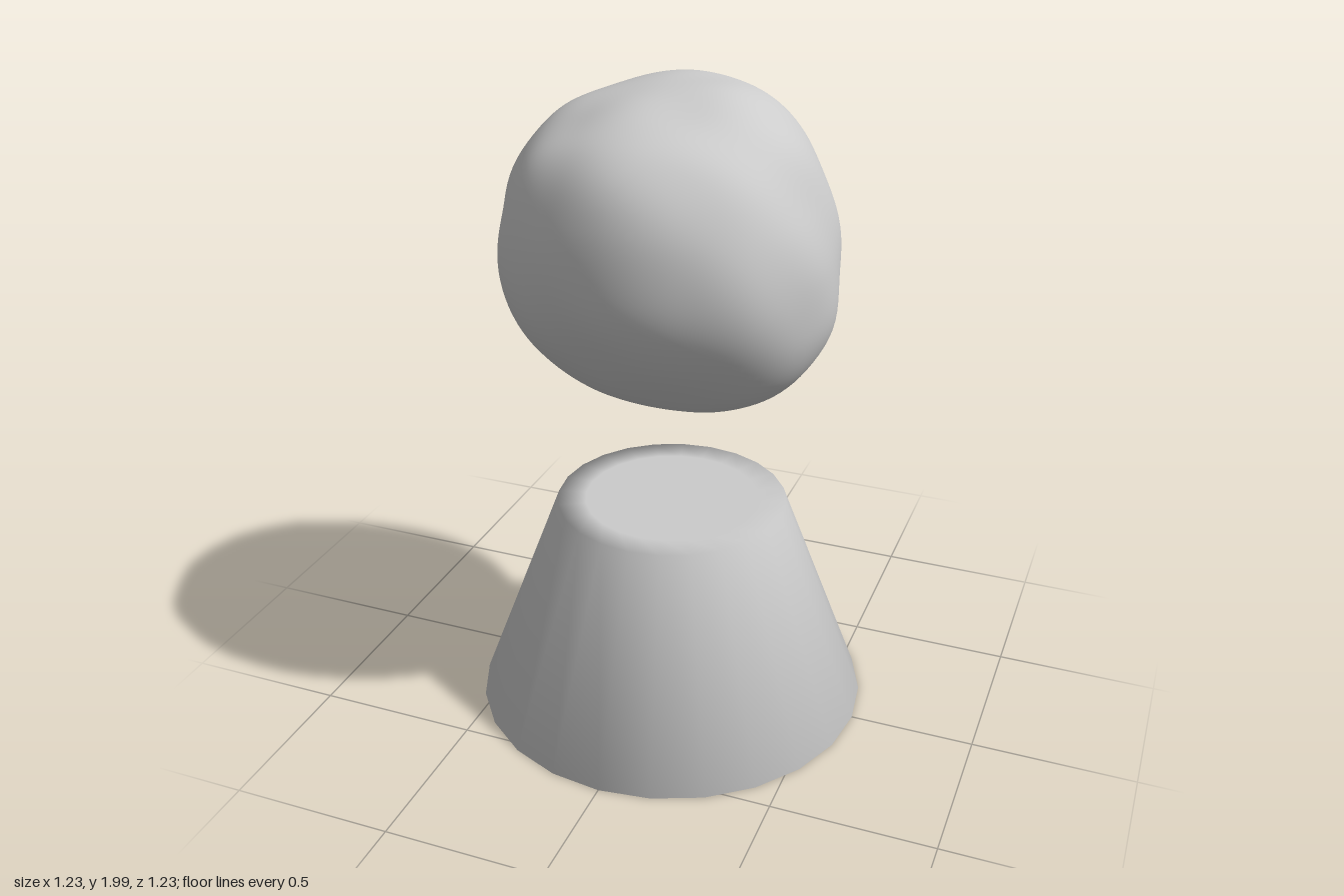
import * as THREE from 'three';
import { mergeVertices } from 'three/addons/utils/BufferGeometryUtils.js';

// Radius of the rock every 22.5 degrees around three perpendicular sections
const FRONT = [.49, .485, .505, .51, .485, .487, .507, .51, .487, .5, .497, .485, .475, .51, .525, .53]; // +x towards +y
const SIDE = [.493, .52, .522, .48, .478, .512, .482, .478, .475, .465, .468, .482, .485, .47, .458, .465]; // +z towards +y
const TOP = [.49, .505, .513, .495, .49, .49, .51, .49, .48, .51, .513, .487, .485, .49, .484, .48]; // +x towards +z

// Smooth periodic interpolation of a section's radius
function radiusAt(section, angle) {
  const n = section.length;
  const t = ((angle / (Math.PI * 2) + 1) % 1) * n;
  const i = Math.floor(t), f = t - i;
  const [a, b, c, d] = [-1, 0, 1, 2].map((k) => section[(i + k + n) % n]);
  return b + 0.5 * f * (c - a + f * (2 * a - 5 * b + 4 * c - d + f * (3 * (b - c) + d - a)));
}

// Merge shared corners so that shading is smooth over the whole surface
function smooth(geometry) {
  geometry.deleteAttribute('normal');
  geometry.deleteAttribute('uv');
  const merged = mergeVertices(geometry, 1e-4);
  merged.computeVertexNormals();
  return merged;
}

function createRock() {
  const geometry = smooth(new THREE.IcosahedronGeometry(1, 24));
  const pos = geometry.attributes.position;
  const v = new THREE.Vector3();
  for (let i = 0; i < pos.count; i++) {
    v.fromBufferAttribute(pos, i).normalize();
    const { x, y, z } = v;
    // Each section counts most near its own plane and not at all at its poles
    const weight = (s) => (1 - s * s) ** 2 / (s * s + 0.06);
    const wf = weight(z), ws = weight(x), wt = weight(y);
    let r = (wf * radiusAt(FRONT, Math.atan2(y, x))
      + ws * radiusAt(SIDE, Math.atan2(y, z))
      + wt * radiusAt(TOP, Math.atan2(z, x))) / (wf + ws + wt);
    // Gentle lumps
    r += 0.005 * Math.sin(7 * x + 2 * y + 1) * Math.sin(6 * y - 3 * z) * Math.sin(7 * z + 2 * x + 2);
    pos.setXYZ(i, x * r, y * r, z * r);
  }
  geometry.computeVertexNormals();
  return geometry;
}

export function createModel() {
  const group = new THREE.Group();
  const material = new THREE.MeshStandardMaterial({ color: 0xcccccc });

  // Tapered pedestal with an inset ring on both flat ends
  const profile = [[0, 0], [0.38, 0], [0.615, 0], [0.357, 0.683], [0.27, 0.683], [0, 0.683]];
  const pedestal = new THREE.Mesh(
    smooth(new THREE.LatheGeometry(profile.map(([r, y]) => new THREE.Vector2(r, y)), 24)),
    material,
  );
  pedestal.name = 'pedestal';

  // Lumpy rock floating above the pedestal
  const rock = new THREE.Mesh(createRock(), material);
  rock.name = 'floatingRock';
  rock.position.y = 1.51;

  group.add(pedestal, rock);
  return group;
}
